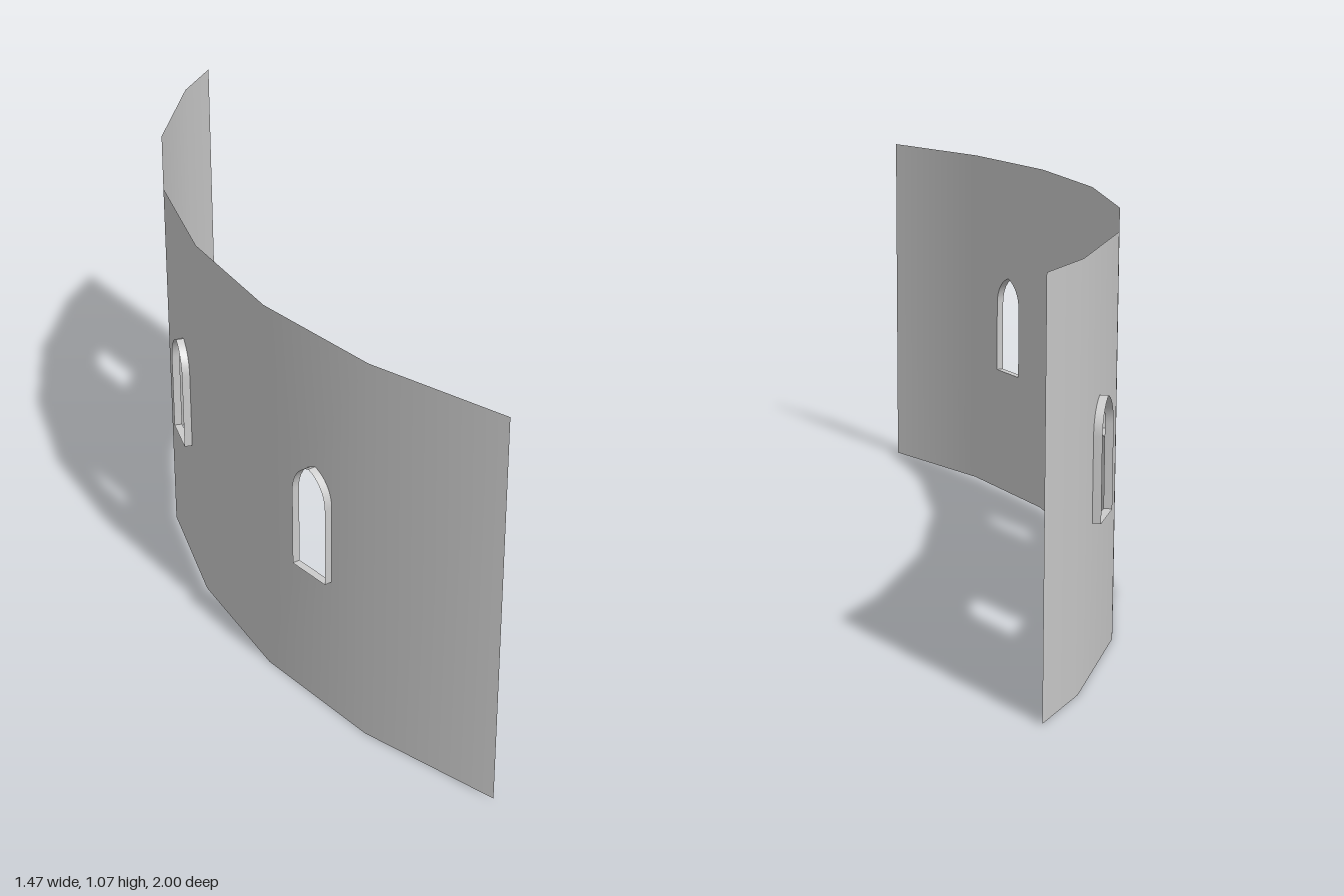
import * as THREE from 'three';
import { mergeGeometries, toCreasedNormals } from 'three/addons/utils/BufferGeometryUtils.js';

const STEP = Math.PI / 16;              // one wall facet of a 32-sided tower
const RADIUS = 2.09;
const APOTHEM = RADIUS * Math.cos(STEP / 2);
const HALF = RADIUS * Math.sin(STEP / 2);
const HEIGHT = 1.07;
const SILL = 0.393, SPRING = 0.612, PEAK = 0.7, HALF_W = 0.0665, DEPTH = 0.022;

// Outline of a pointed-arch window, anticlockwise from the lower left corner
function windowOutline() {
  const rise = PEAK - SPRING;
  const r = (HALF_W * HALF_W + rise * rise) / (2 * HALF_W);
  const end = Math.asin(rise / r), n = 8, right = [];
  for (let i = 0; i <= n; i++) {
    const t = (end * i) / n;
    right.push(new THREE.Vector2(HALF_W - r + r * Math.cos(t), SPRING + r * Math.sin(t)));
  }
  right[n].x = 0;
  const left = right.slice(0, n).reverse().map((p) => new THREE.Vector2(-p.x, p.y));
  return [new THREE.Vector2(-HALF_W, SILL), new THREE.Vector2(HALF_W, SILL), ...right, ...left];
}

// Turn a piece drawn on a flat facet to its place around the tower
function place(geometry, angle) {
  return geometry.rotateY(angle - Math.PI / 2).translate(-0.7375 + APOTHEM, 0, -1);
}

// Flat facet from u0 to u1, with normals that blend into its neighbours
function facet(u0, u1, angle, outline) {
  const shape = new THREE.Shape([
    new THREE.Vector2(u0, 0), new THREE.Vector2(u1, 0),
    new THREE.Vector2(u1, HEIGHT), new THREE.Vector2(u0, HEIGHT),
  ]);
  if (outline) shape.holes.push(new THREE.Path(outline));
  const g = new THREE.ShapeGeometry(shape).translate(0, 0, APOTHEM);
  const p = g.attributes.position, v = new THREE.Vector3();
  for (let i = 0; i < p.count; i++) {
    v.set(p.getX(i), 0, APOTHEM).normalize();
    g.attributes.normal.setXYZ(i, v.x, v.y, v.z);
  }
  return place(g, angle);
}

// Narrow band standing out from the wall around a window opening
function reveal(outline, angle) {
  const pos = [];
  outline.forEach((a, i) => {
    const b = outline[(i + 1) % outline.length];
    const z0 = APOTHEM, z1 = APOTHEM + DEPTH;
    pos.push(a.x, a.y, z0, b.x, b.y, z0, b.x, b.y, z1);
    pos.push(a.x, a.y, z0, b.x, b.y, z1, a.x, a.y, z1);
  });
  const g = new THREE.BufferGeometry();
  g.setAttribute('position', new THREE.Float32BufferAttribute(pos, 3));
  return place(toCreasedNormals(g, 0.6), angle);
}

export function createModel() {
  const group = new THREE.Group();
  group.name = 'curvedWall';
  const material = new THREE.MeshStandardMaterial({ color: 0xcccccc, side: THREE.DoubleSide });
  const add = (geometry, name) => {
    const mesh = new THREE.Mesh(geometry, material);
    mesh.name = name;
    group.add(mesh);
  };

  // Half a facet, then six whole ones, with a window in every other one
  const outline = windowOutline();
  const facets = [facet(0, HALF, 0)];
  for (let i = 1; i <= 6; i++) {
    const hasWindow = i % 2 === 1;
    facets.push(facet(-HALF, HALF, i * STEP, hasWindow ? outline : null));
    if (hasWindow) add(reveal(outline, i * STEP), 'windowReveal' + (i + 1) / 2);
  }
  add(mergeGeometries(facets), 'wall');
  return group;
}
